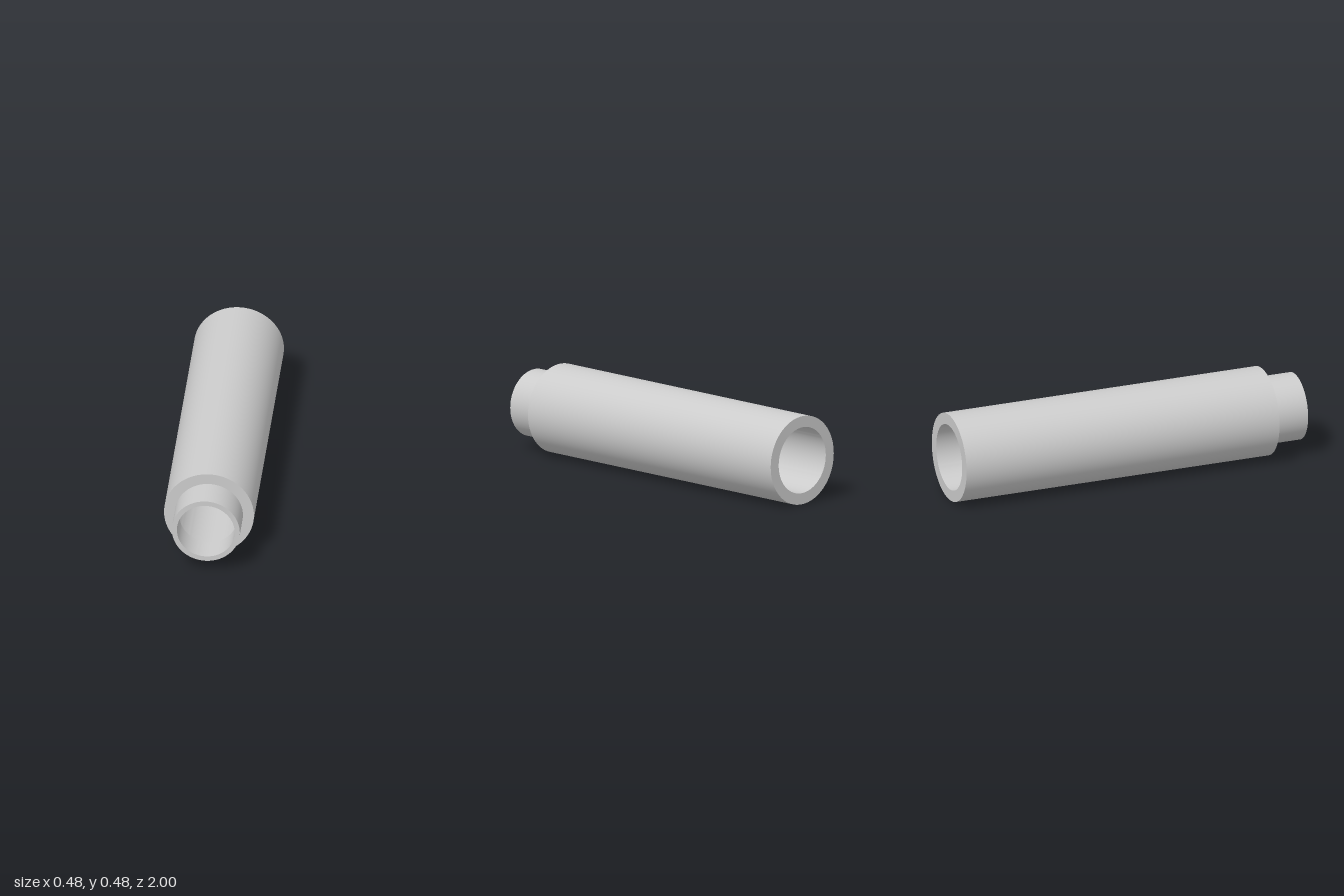
import * as THREE from 'three';
import { toCreasedNormals } from 'three/addons/utils/BufferGeometryUtils.js';

const OUTER = 0.241, SPIGOT = 0.182, LIP_BORE = 0.155, BORE = 0.18;
const BACK = -1, SHOULDER = 0.81, STEP = 0.845, FRONT = 1;

export function createModel() {
  const group = new THREE.Group();
  group.name = 'pipeSleeve';

  // Closed wall section [radius, z]: up the outside, back down the bore
  const section = [
    [BORE, BACK], [OUTER, BACK], [OUTER, SHOULDER], [SPIGOT, SHOULDER], [SPIGOT, FRONT],
    [LIP_BORE, FRONT], [LIP_BORE, STEP], [BORE, STEP], [BORE, BACK],
  ].map(([r, z]) => new THREE.Vector2(r, z));

  // Revolve, then lay the axis along z
  const lathe = new THREE.LatheGeometry(section, 96).rotateX(Math.PI / 2);
  const geometry = toCreasedNormals(lathe, Math.PI / 6);

  const sleeve = new THREE.Mesh(geometry, new THREE.MeshStandardMaterial({ color: 0xcccccc }));
  sleeve.name = 'steppedSleeve';
  sleeve.position.y = OUTER;
  group.add(sleeve);
  return group;
}
